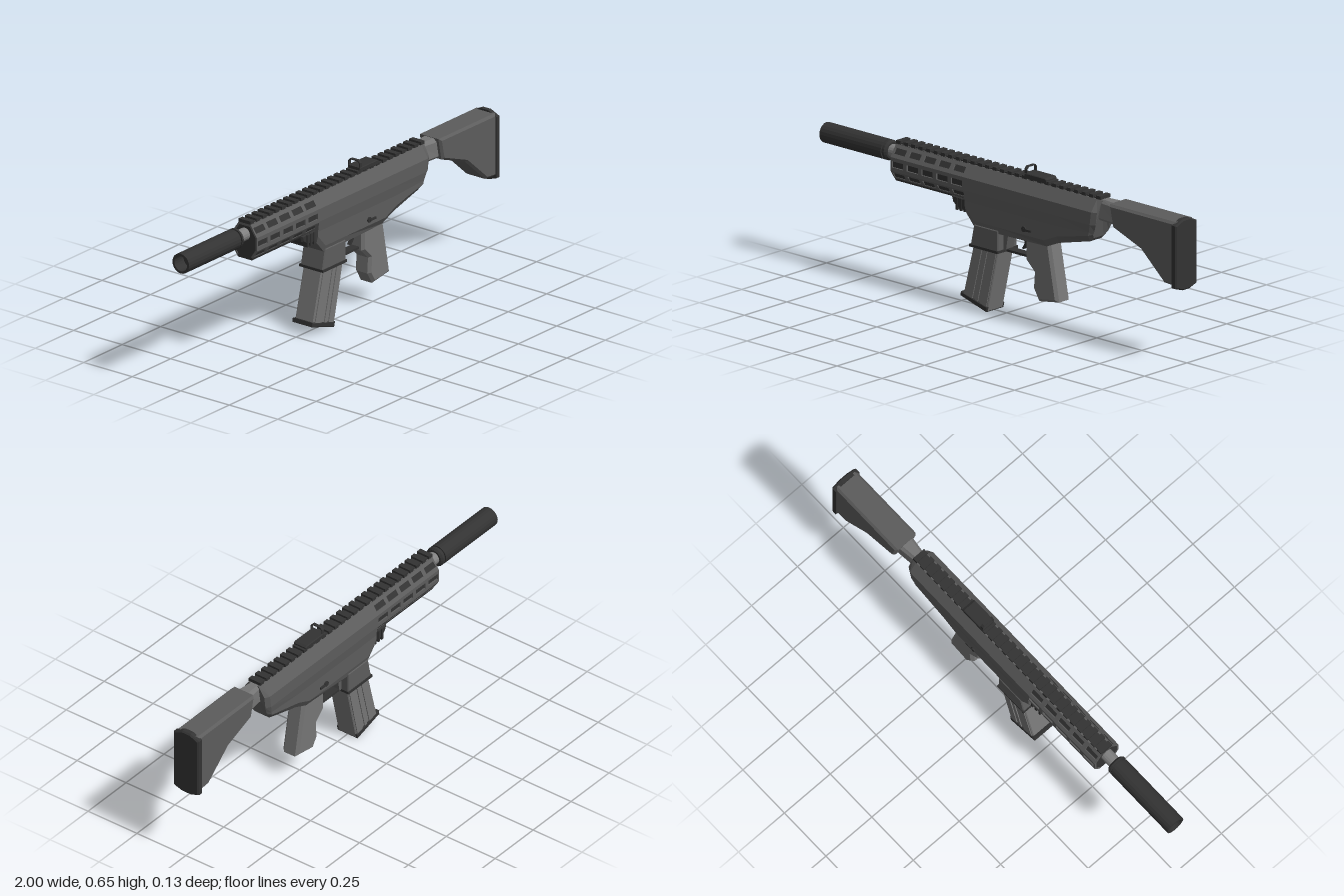
import * as THREE from 'three';

const mat = (color) => new THREE.MeshStandardMaterial({ color, flatShading: true });

export function createModel() {
  const root = new THREE.Group();
  const body = mat(0x5c5c5c), dark = mat(0x333333), light = mat(0x757575), metal = mat(0x808080);

  const add = (name, geo, m, x = 0, y = 0, z = 0, parent = root) => {
    const mesh = new THREE.Mesh(geo, m);
    mesh.name = name;
    mesh.position.set(x, y, z);
    parent.add(mesh);
    return mesh;
  };
  const group = (name) => {
    const g = new THREE.Group();
    g.name = name;
    root.add(g);
    return g;
  };
  const box = (name, m, x0, x1, y0, y1, w, parent = root) =>
    add(name, new THREE.BoxGeometry(x1 - x0, y1 - y0, 2 * w), m, (x0 + x1) / 2, (y0 + y1) / 2, 0, parent);

  // Side outline pushed through the thickness, with chamfered edges
  const prism = (name, m, pts, w, bevel = 0, parent = root) => {
    const shape = new THREE.Shape(pts.map((p) => new THREE.Vector2(...p)));
    const geo = new THREE.ExtrudeGeometry(shape, {
      depth: 2 * (w - bevel), bevelEnabled: bevel > 0, bevelThickness: bevel,
      bevelSize: bevel, bevelOffset: -bevel, bevelSegments: 1,
    });
    geo.translate(0, 0, bevel - w);
    return add(name, geo, m, 0, 0, 0, parent);
  };

  // Mirrored half sections [z, y], top to bottom, joined along x
  const loft = (name, m, sections) => {
    const pos = [], idx = [];
    const n = sections[0].half.length * 2;
    for (const { half, x } of sections) {
      const ring = [...half, ...half.map(([z, y]) => [-z, y]).reverse()];
      ring.forEach(([z, y], i) => pos.push(Array.isArray(x) ? x[Math.min(i, n - 1 - i)] : x, y, z));
    }
    for (let s = 0; s < sections.length - 1; s++)
      for (let i = 0; i < n; i++) {
        const a = s * n + i, b = s * n + (i + 1) % n;
        idx.push(a, b, b + n, a, b + n, a + n);
      }
    const e = (sections.length - 1) * n;
    for (let i = 1; i < n - 1; i++) idx.push(0, i + 1, i, e, e + i, e + i + 1);
    const geo = new THREE.BufferGeometry();
    geo.setAttribute('position', new THREE.Float32BufferAttribute(pos, 3));
    geo.setIndex(idx);
    geo.computeVertexNormals();
    return add(name, geo, m);
  };

  // Turned part along x from [radius, x] points
  const turned = (name, m, pts, y, sides = 20) => {
    const geo = new THREE.LatheGeometry(pts.map(([r, x]) => new THREE.Vector2(r, x)), sides);
    geo.rotateZ(-Math.PI / 2);
    return add(name, geo, m, 0, y, 0);
  };

  // Muzzle tube, collar rings and barrel
  const axis = 0.553;
  turned('muzzleTube', dark, [[0, -0.94], [0.033, -0.94], [0.033, -1], [0.043, -1], [0.043, -0.66],
    [0.037, -0.66], [0.037, -0.653], [0.043, -0.653], [0.043, -0.643], [0.035, -0.635], [0, -0.635]].reverse(), axis)
    .material.side = THREE.DoubleSide;
  turned('barrel', metal, [[0, -0.55], [0.027, -0.55], [0.027, -0.65], [0, -0.65]], axis, 16)
    .material.side = THREE.DoubleSide;

  // Receiver: flat-topped body tapering up towards the rear
  const section = (x, yb, wb) => ({
    x, half: [[0.03, 0.6], [0.064, 0.55], [0.064, 0.495], [0.058, Math.max(0.45, yb + 0.045)],
      [0.058, yb + 0.03], [wb, yb]],
  });
  loft('receiver', body, [
    section(-0.18, 0.4, 0.05), section(-0.13, 0.345, 0.05), section(0.0, 0.345, 0.05),
    section(0.26, 0.345, 0.04), section(0.33, 0.375, 0.04),
    section([0.53, 0.528, 0.52, 0.51, 0.505, 0.495], 0.415, 0.035),
    { x: [0.552, 0.55, 0.542, 0.53, 0.522, 0.51],
      half: [[0.025, 0.597], [0.052, 0.55], [0.052, 0.495], [0.046, 0.465], [0.046, 0.45], [0.028, 0.43]] },
  ]);

  // Handguard: dark core behind slotted panels
  const guard = group('handguard');
  const gx0 = -0.585, gx1 = -0.18, len = gx1 - gx0, mid = (gx0 + gx1) / 2;
  const facets = [[[0.064, 0.55], [0.03, 0.6]], [[0.064, 0.492], [0.064, 0.55]], [[0.04, 0.455], [0.064, 0.492]]];
  const inner = (x) => ({ x, half: [[0.028, 0.594], [0.057, 0.548], [0.057, 0.495], [0.036, 0.446]] });
  guard.add(loft('handguardCore', dark, [inner(gx0 + 0.002), inner(gx1)]));
  box('handguardTop', body, gx0, gx1, 0.59, 0.6, 0.031, guard);
  for (const s of [1, -1])
    for (const [p, q] of facets) {
      const up = new THREE.Vector3(0, q[1] - p[1], (q[0] - p[0]) * s);
      const h = up.length(), hh = Math.min(0.013, h * 0.28);
      const shape = new THREE.Shape([[-len / 2, -h / 2], [len / 2, -h / 2], [len / 2, h / 2], [-len / 2, h / 2]]
        .map((c) => new THREE.Vector2(...c)));
      for (let i = -2; i <= 2; i++) {
        const c = i * 0.082;
        shape.holes.push(new THREE.Path([[c - 0.031, -hh], [c - 0.031, hh], [c + 0.031, hh], [c + 0.031, -hh]]
          .map((v) => new THREE.Vector2(...v))));
      }
      const geo = new THREE.ExtrudeGeometry(shape, { depth: 0.008, bevelEnabled: false });
      geo.translate(0, 0, -0.008);
      const panel = add('handguardPanel', geo, body, mid, (p[1] + q[1]) / 2, s * (p[0] + q[0]) / 2, guard);
      const along = new THREE.Vector3(s, 0, 0);
      up.normalize();
      panel.quaternion.setFromRotationMatrix(
        new THREE.Matrix4().makeBasis(along, up, along.clone().cross(up)));
    }

  // Ribbed hand stop under the handguard
  prism('handStop', dark, [[-0.27, 0.455], [-0.262, 0.425], [-0.235, 0.403], [-0.17, 0.4], [-0.17, 0.455]], 0.045, 0.008);
  for (let i = 0; i < 3; i++)
    box('handStopRib', dark, -0.238 + i * 0.022, -0.228 + i * 0.022, 0.398, 0.45, 0.049);

  // Toothed top rail
  const rail = group('topRail');
  box('railBase', dark, -0.585, 0.545, 0.597, 0.605, 0.024, rail);
  for (let i = 0; i < 28; i++) {
    const x = -0.585 + i * 0.0411;
    box('railTooth', dark, x, x + 0.023, 0.6, 0.614, 0.03, rail);
  }

  // Rear sight with an open chamfered frame
  const sight = group('sight');
  prism('sightBase', dark, [[0.125, 0.605], [0.25, 0.605], [0.25, 0.62], [0.24, 0.626], [0.125, 0.626]], 0.032, 0.003, sight);
  const outline = (w, y0, y1, c) => [[-w, y0], [w, y0], [w, y1 - c], [w - c, y1], [c - w, y1], [-w, y1 - c]]
    .map((v) => new THREE.Vector2(...v));
  const frame = new THREE.Shape(outline(0.03, 0.615, 0.655, 0.01));
  frame.holes.push(new THREE.Path(outline(0.026, 0.62, 0.651, 0.008).reverse()));
  const frameGeo = new THREE.ExtrudeGeometry(frame, { depth: 0.014, bevelEnabled: false });
  frameGeo.rotateY(Math.PI / 2);
  add('sightFrame', frameGeo, dark, 0.127, 0, 0, sight);

  // Magazine well with its lip
  prism('magazineWell', body, [[-0.13, 0.36], [-0.15, 0.265], [0.003, 0.265], [0.003, 0.36]], 0.057, 0.004);
  box('magazineWellLip', dark, -0.152, 0.006, 0.263, 0.274, 0.061);

  // Slanted magazine with raised side ribs and a base plate
  const mag = group('magazine');
  const slant = (u, v) => [-0.137 + 0.137 * u - 0.066 * v, 0.285 - 0.255 * v - 0.035 * u * v];
  const strip = (u0, u1, v0, v1) => [slant(u0, v0), slant(u0, v1), slant(u1, v1), slant(u1, v0)];
  prism('magazineBody', light, strip(0, 1, 0, 0.97), 0.047, 0.004, mag);
  for (const [u0, u1] of [[0.06, 0.38], [0.5, 0.6], [0.7, 0.95]])
    prism('magazineRib', light, strip(u0, u1, 0.05, 0.95), 0.051, 0, mag);
  prism('magazineBase', dark, [[-0.207, 0.06], [-0.21, 0.042], [-0.066, 0], [-0.06, 0.022]], 0.053, 0.003, mag);

  // Pistol grip
  prism('grip', light, [[0.136, 0.36], [0.136, 0.262], [0.183, 0.218], [0.178, 0.15], [0.208, 0.1],
    [0.318, 0.117], [0.272, 0.36]], 0.04, 0.012);

  // Trigger and guard
  box('triggerGuard', dark, 0, 0.15, 0.268, 0.278, 0.02);
  prism('triggerGuardFront', body, [[0, 0.35], [0, 0.27], [0.016, 0.27], [0.03, 0.35]], 0.022);
  prism('trigger', dark, [[0.1, 0.35], [0.107, 0.318], [0.092, 0.295], [0.1, 0.293], [0.118, 0.315], [0.118, 0.35]], 0.008);

  // Selector levers and pins on both sides
  for (const s of [1, -1]) {
    const knob = add('selectorKnob', new THREE.CylinderGeometry(0.012, 0.012, 0.014, 12), dark, 0.152, 0.4, s * 0.057);
    knob.rotation.x = Math.PI / 2;
    add('selectorLever', new THREE.BoxGeometry(0.04, 0.009, 0.01), dark, 0.172, 0.398, s * 0.06);
  }

  // Stock: narrow neck, solid shoulder piece and octagonal butt pad
  loft('stockNeck', light, [
    { x: [0.535, 0.535, 0.52, 0.52], half: [[0.014, 0.6], [0.024, 0.585], [0.024, 0.52], [0.014, 0.508]] },
    { x: [0.625, 0.625, 0.64, 0.64], half: [[0.024, 0.6], [0.036, 0.585], [0.036, 0.52], [0.024, 0.508]] },
  ]);
  prism('stock', body, [[0.617, 0.602], [0.636, 0.508], [0.79, 0.45], [0.92, 0.335], [0.985, 0.33], [0.985, 0.602]], 0.057, 0.01);
  const pad = (x, d) => ({ x, half: [[0.02, 0.61 - d], [0.064 - d, 0.59 - d / 2], [0.064 - d, 0.325 + d / 2], [0.02, 0.31 + d]] });
  loft('buttPad', dark, [pad(0.975, 0), pad(0.994, 0), pad(1, 0.006)]);

  return root;
}
